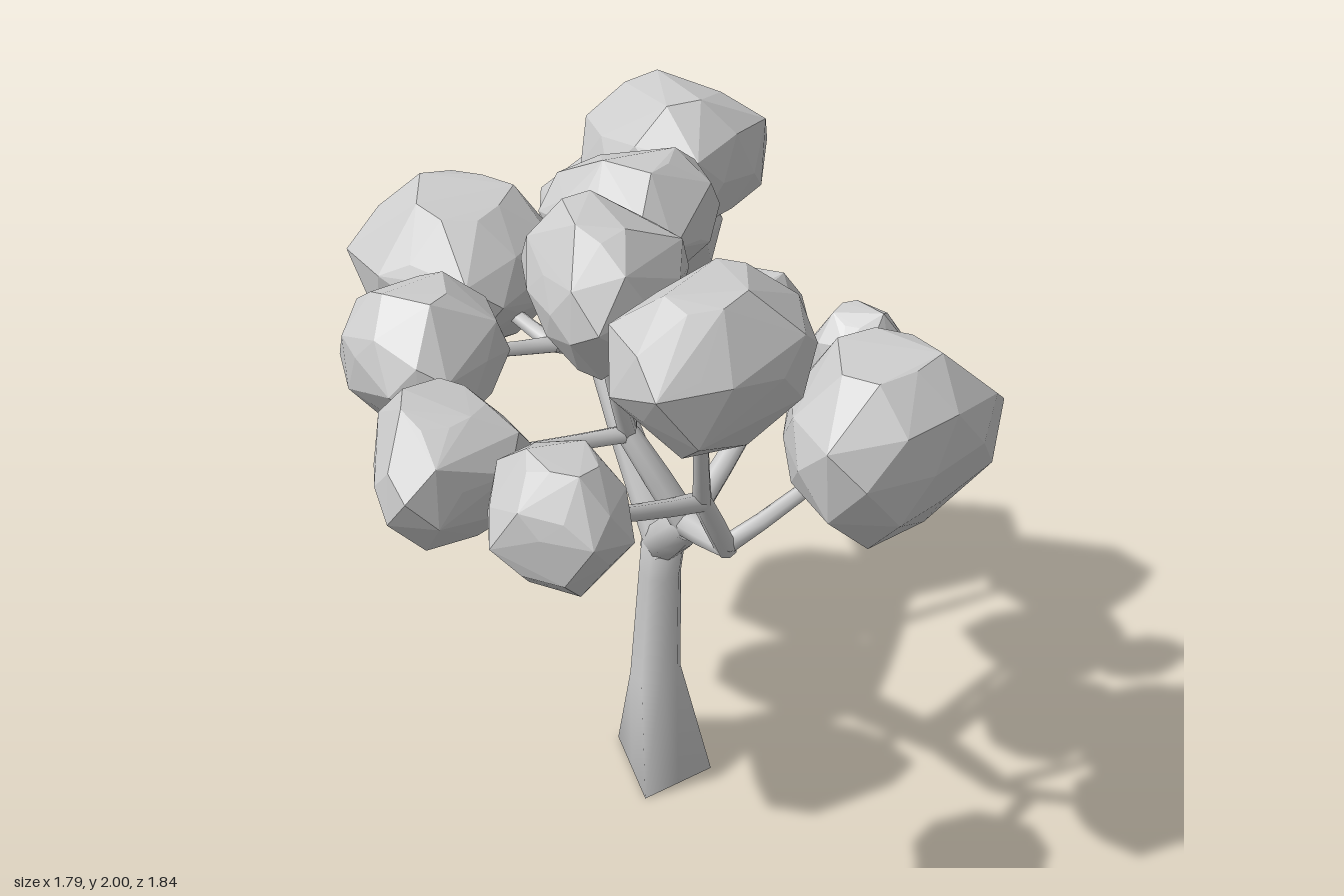
import * as THREE from 'three';
import { ConvexGeometry } from 'three/addons/geometries/ConvexGeometry.js';

const grey = new THREE.MeshStandardMaterial({ color: 0xcccccc });
const faceted = new THREE.MeshStandardMaterial({ color: 0xcccccc, flatShading: true });
const V = (x, y, z) => new THREE.Vector3(x, y, z);

// Small seeded generator, 0..1
let seed = 7;
const rand = () => {
  seed = (seed * 16807) % 2147483647;
  return seed / 2147483647;
};

// Smooth limb through points, one radius per point
function limb(name, points, radii, sides) {
  const pos = [], index = [], last = points.length - 1;
  points.forEach((p, i) => {
    const dir = points[Math.min(i + 1, last)].clone().sub(points[Math.max(i - 1, 0)]).normalize();
    const turn = new THREE.Quaternion().setFromUnitVectors(V(0, 1, 0), dir);
    for (let k = 0; k < sides; k++) {
      const a = (k / sides) * Math.PI * 2;
      const v = V(Math.cos(a), 0, Math.sin(a)).multiplyScalar(radii[i]);
      pos.push(...v.applyQuaternion(turn).add(p).toArray());
      if (i < last) {
        const b = i * sides + k, c = i * sides + (k + 1) % sides;
        index.push(b, b + sides, c, c, b + sides, c + sides);
      }
    }
  });
  const geo = new THREE.BufferGeometry();
  geo.setAttribute('position', new THREE.Float32BufferAttribute(pos, 3));
  geo.setIndex(index);
  geo.computeVertexNormals();
  const mesh = new THREE.Mesh(geo, grey);
  mesh.name = name;
  return mesh;
}

// Faceted leaf clump: hull of jittered rings, bulging towards the corners of its plan
function clump(name, centre, size, corners) {
  const pts = [], sides = 9;
  [0.5, 0.88, 1, 0.88, 0.5].forEach((scale, row) => {
    for (let k = 0; k < sides; k++) {
      const a = ((k + (row % 2) / 2) / sides) * Math.PI * 2 + corners[0];
      const bulge = Math.max(0, ...corners.map(c => Math.cos(a - c))) ** 4;
      const r = scale * (0.8 + 0.3 * bulge) * (0.92 + 0.14 * rand());
      pts.push(V(Math.cos(a) * r, row / 4 + (rand() - 0.5) * 0.2, Math.sin(a) * r));
    }
  });
  const geo = new ConvexGeometry(pts).center();
  const span = geo.boundingBox.getSize(V(0, 0, 0));
  geo.scale(size.x / span.x, size.y / span.y, size.z / span.z);
  const mesh = new THREE.Mesh(geo, faceted);
  mesh.position.copy(centre);
  mesh.name = name;
  return mesh;
}

// Trunk whose lowest ring is a slanted four-cornered foot
function trunk(base, fork) {
  const sides = 8;
  const mesh = limb('trunk',
    [base, base, V(-0.025, 0.35, -0.18), V(-0.01, 0.7, -0.175), fork, V(0, 0.88, -0.17)],
    [0, 0.17, 0.073, 0.06, 0.062, 0.02], sides);
  const corners = [V(0.15, 0.04, -0.21), V(0.04, 0, -0.03), V(-0.18, 0, -0.22), V(-0.08, 0.03, -0.38)];
  const pos = mesh.geometry.attributes.position;
  for (let k = 0; k < sides; k++) {
    const i = Math.floor(k / 2);
    const p = corners[i].clone().lerp(corners[(i + 1) % 4], (k % 2) / 2);
    pos.setXYZ(sides + k, p.x, p.y, p.z);
  }
  mesh.geometry.computeVertexNormals();
  return mesh;
}

export function createModel() {
  const tree = new THREE.Group();
  tree.name = 'tree';
  const wood = new THREE.Group();
  wood.name = 'wood';
  const crown = new THREE.Group();
  crown.name = 'crown';
  tree.add(wood, crown);

  // Points where the branches divide
  const fork = V(0, 0.8, -0.175);
  const right = V(-0.28, 1.27, -0.27);
  const rightSide = V(-0.3, 1.35, -0.1);
  const left = V(0.2, 1.04, 0.03);
  const outer = V(0.4, 1.13, 0.18);
  const outerTip = V(0.41, 1.33, 0.31);
  const back = V(0.2, 1.21, -0.3);
  const middle = V(0.06, 1.29, 0.09);

  wood.add(trunk(V(-0.015, 0, -0.205), fork));

  // Main boughs and branches
  const branches = [
    ['rightBough', fork, right, 0.062, 0.032],
    ['leftBough', fork, left, 0.066, 0.045],
    ['rightSideBranch', right, rightSide, 0.03, 0.022],
    ['outerBranch', left, outer, 0.042, 0.03],
    ['outerTipBranch', outer, outerTip, 0.03, 0.024],
    ['backBranch', left, back, 0.036, 0.025],
    ['middleBranch', left, middle, 0.042, 0.03],
  ];
  for (const [name, from, to, r0, r1] of branches) {
    // Both ends run on a little so that the joints close
    const dir = to.clone().sub(from).normalize();
    wood.add(limb(name, [
      from.clone().addScaledVector(dir, -r0 * 0.6), from.clone().lerp(to, 0.5), to,
      to.clone().addScaledVector(dir, r1),
    ], [r0 * 0.9, (r0 + r1) / 2, r1, r1 * 0.3], 8));
  }

  // Leaf clumps: parent joint, x, y, z of the centre, width, height, depth, plan corners in degrees
  const clumps = [
    ['rightBack', right, -0.465, 1.425, -0.635, 0.53, 0.47, 0.57, [-52, 187, 65]],
    ['topBack', right, -0.18, 1.8, -0.43, 0.5, 0.38, 0.43, [-55, 185, 60]],
    ['rightSide', rightSide, -0.64, 1.475, -0.135, 0.52, 0.45, 0.47, [150, 210, -50, 50]],
    ['rightFront', rightSide, -0.48, 1.415, 0.24, 0.4, 0.39, 0.37, [-45, 45, 155]],
    ['backInner', back, 0.105, 1.37, -0.45, 0.21, 0.3, 0.3, [-30, 150]],
    ['backOuter', back, 0.405, 1.365, -0.465, 0.25, 0.27, 0.21, [-50, 150]],
    ['topMiddle', middle, -0.05, 1.78, -0.075, 0.4, 0.34, 0.39, [-50, 45, 160]],
    ['topFront', middle, 0.09, 1.8, 0.285, 0.4, 0.38, 0.37, [-60, 65, 190]],
    ['front', middle, -0.17, 1.375, 0.57, 0.4, 0.37, 0.38, [-45, 80, 200]],
    ['leftSide', outer, 0.63, 1.38, -0.11, 0.52, 0.48, 0.58, [-52, 85, 200]],
    ['topLeft', outerTip, 0.51, 1.815, 0.5, 0.38, 0.37, 0.49, [-40, 80, 145]],
    ['leftFront', outerTip, 0.33, 1.505, 0.765, 0.34, 0.31, 0.3, [195, 120, 30]],
  ];
  for (const [name, joint, x, y, z, w, h, d, degrees] of clumps) {
    const centre = V(x, y, z);
    crown.add(clump(name + 'Clump', centre, V(w, h, d), degrees.map(a => THREE.MathUtils.degToRad(a))));
    // Twig that leaves the joint sideways and turns up into the clump
    const bend = joint.clone().lerp(centre, 0.5);
    bend.y -= 0.12 * (y - joint.y);
    const curve = new THREE.QuadraticBezierCurve3(joint, bend, centre);
    wood.add(limb(name + 'Twig', curve.getPoints(4), [0.025, 0.022, 0.02, 0.018, 0.016], 6));
  }
  return tree;
}
